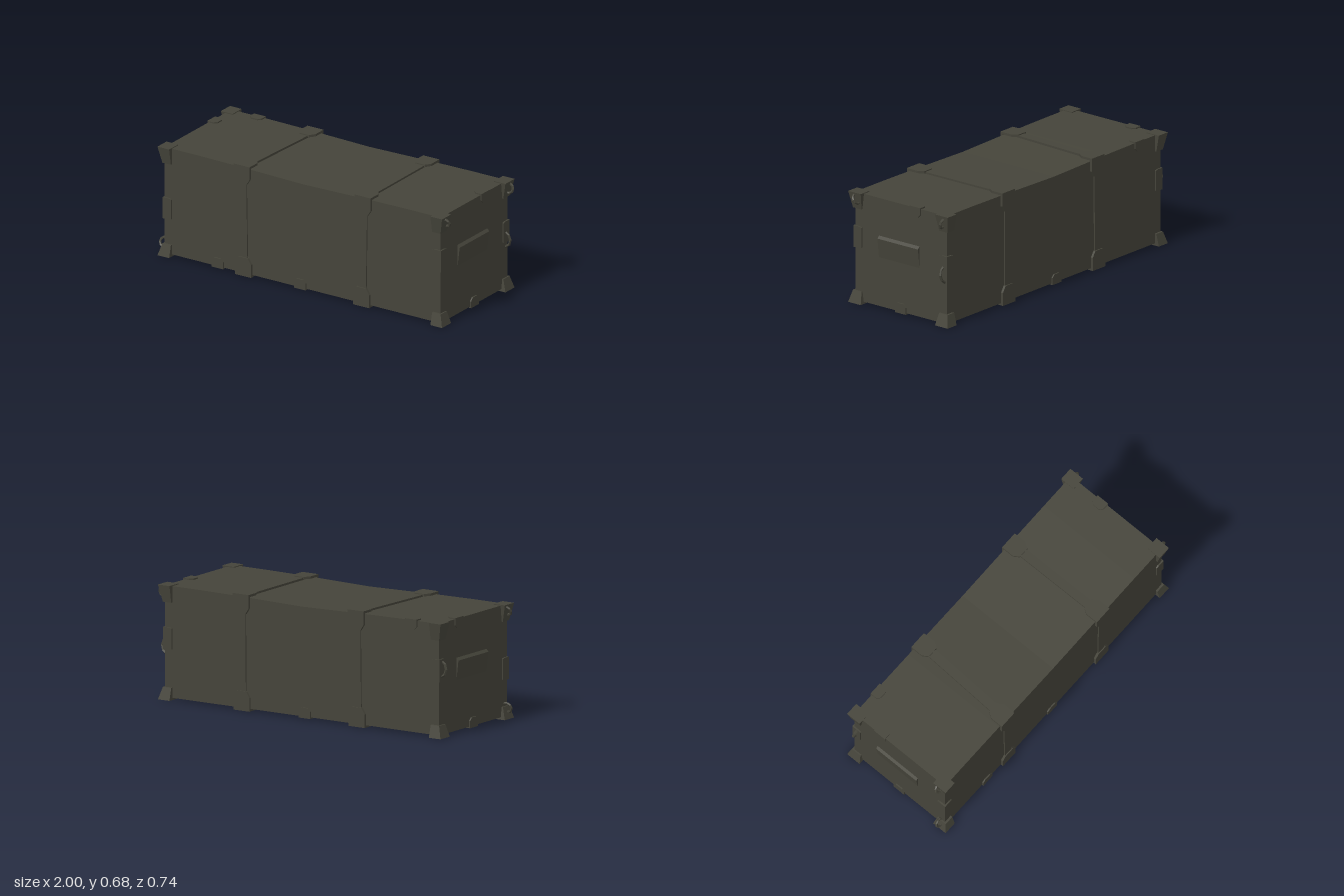
import * as THREE from 'three';

const V = (x, y, z) => new THREE.Vector3(x, y, z);
const HALF = V(0.945, 0.324, 0.338); // half size of the crate body
const MID = 0.337;

export function createModel() {
  const model = new THREE.Group();
  const metal = new THREE.MeshStandardMaterial({ color: 0x45443a, flatShading: true });
  metal.name = 'darkOlive';

  const add = (geometry, name, parent = model) => {
    const mesh = new THREE.Mesh(geometry, metal);
    mesh.name = name;
    parent.add(mesh);
    return mesh;
  };

  // Aligns local y to a and local z to b
  const orient = (obj, a, b) => obj.quaternion.setFromRotationMatrix(
    new THREE.Matrix4().makeBasis(a.clone().cross(b), a, b));

  // Point on the body edge shared by faces a and b, shifted along the edge
  const edgePoint = (a, b, shift) => {
    const p = a.clone().add(b).multiply(HALF);
    p.y += MID;
    return p.add(shift);
  };

  // Body, with a slightly sagging lid
  const box = new THREE.BoxGeometry(HALF.x * 2, HALF.y * 2, HALF.z * 2, 8, 1, 2);
  const bp = box.attributes.position;
  for (let i = 0; i < bp.count; i++) {
    if (bp.getY(i) > 0) bp.setY(i, bp.getY(i) - 0.012 * Math.max(0, 1 - Math.abs(bp.getX(i)) / 0.6));
  }
  add(box, 'crateBody').position.y = MID;

  // Folded plate hugging an edge: one tapered plate on each face
  function edgePlate(name, a, b, shift, w, h, tip, t) {
    const group = new THREE.Group();
    group.name = name;
    const shape = new THREE.Shape([
      [-w / 2, t], [-w / 2, -h * 0.65], [-tip / 2, -h], [tip / 2, -h], [w / 2, -h * 0.65], [w / 2, t],
    ].map(([x, y]) => new THREE.Vector2(x, y)));
    const plate = () => new THREE.ExtrudeGeometry(shape, { depth: t, bevelEnabled: false });
    add(plate(), name + 'Side', group);
    add(plate().rotateX(-Math.PI / 2).rotateY(Math.PI), name + 'Fold', group);
    group.position.copy(edgePoint(a, b, shift));
    orient(group, a, b);
    model.add(group);
  }

  const L = V(1, 0, 0), R = V(-1, 0, 0), U = V(0, 1, 0), D = V(0, -1, 0), F = V(0, 0, 1), B = V(0, 0, -1);

  // Straps: four bands round the body and a folded cap at each edge
  const ring = [[U, F], [U, B], [D, B], [D, F]];
  const straps = [[-0.41, -0.378, -0.385, -0.4], [0.42, 0.415, 0.41, 0.41]];
  straps.forEach((xs) => {
    const pts = ring.map(([a, b], i) => edgePoint(a, b, V(xs[i], 0, 0)));
    ring.forEach(([a, b], i) => {
      edgePlate('strapCap', a, b, V(xs[i], 0, 0), 0.11, 0.1, 0.065, 0.014);
      const p = pts[i], q = pts[(i + 1) % 4];
      const normal = [U, B, D, F][i];
      const band = add(new THREE.BoxGeometry(0.055, p.distanceTo(q), 0.016), 'strapBand');
      band.position.copy(p).add(q).multiplyScalar(0.5);
      orient(band, q.clone().sub(p).normalize(), normal);
    });
  });

  // Small clips along the edges
  [
    [D, F, V(-0.58, 0, 0)], [D, F, V(-0.015, 0, 0)], [D, B, V(-0.02, 0, 0)], [U, B, V(-0.755, 0, 0)],
    [U, L, V(0, 0, -0.107)], [U, R, V(0, 0, -0.145)], [D, L, V(0, 0, 0)], [D, R, V(0, 0, 0)],
  ].forEach(([a, b, s]) => edgePlate('edgeClip', a, b, s, 0.08, 0.052, 0.045, 0.008));
  [[L, F, 0.395], [L, B, 0.355], [R, F, 0.29], [R, B, 0.39]].forEach(([a, b, y]) =>
    edgePlate('cornerClip', a, b, V(0, y - MID, 0), 0.13, 0.05, 0.12, 0.009));

  // Flared corner brackets
  for (const sx of [-1, 1]) for (const sy of [-1, 1]) for (const sz of [-1, 1]) {
    const h = sy > 0 ? 0.1 : 0.072;
    const g = new THREE.BoxGeometry(1, 1, 1);
    const p = g.attributes.position;
    for (let i = 0; i < p.count; i++) {
      const end = p.getY(i) * sy > 0;
      const outX = p.getX(i) * sx > 0, outZ = p.getZ(i) * sz > 0;
      p.setXYZ(i,
        sx * (outX ? (end ? 0.975 : 0.953) : 0.895),
        sy > 0 ? (end ? 0.666 : 0.666 - h) : (end ? 0 : h),
        sz * (outZ ? (end ? 0.368 : 0.35) : (end ? 0.275 : 0.287)));
    }
    g.computeVertexNormals();
    add(g, 'cornerBracket');
  }

  // Hanging rings: x, y, z, radius, twist
  [
    [0.964, 0.627, 0.315, 0.028, 0.5], [0.964, 0.62, -0.327, 0.028, -0.2], [0.93, 0.308, -0.318, 0.05, 0.1],
    [-0.964, 0.628, 0.312, 0.028, -0.5], [-0.93, 0.395, -0.318, 0.05, 0.1], [-0.964, 0.066, 0.315, 0.028, -0.3],
  ].forEach(([x, y, z, r, twist]) => {
    const loop = add(new THREE.TorusGeometry(r, 0.008, 5, 10), 'hangingRing');
    loop.position.set(x, y, z);
    loop.rotation.x = twist;
  });

  // Wedge-shaped grips on both ends
  for (const s of [-1, 1]) {
    const wedge = new THREE.Shape();
    wedge.moveTo(0, 0.305);
    wedge.lineTo(0.014, 0.42);
    wedge.lineTo(0, 0.435);
    const g = new THREE.ExtrudeGeometry(wedge, { depth: 0.3, bevelEnabled: false });
    g.translate(0, 0, -0.15);
    if (s < 0) g.rotateY(Math.PI);
    add(g, 'endGrip').position.set(s * HALF.x, 0, s * 0.015);
  }
  return model;
}
